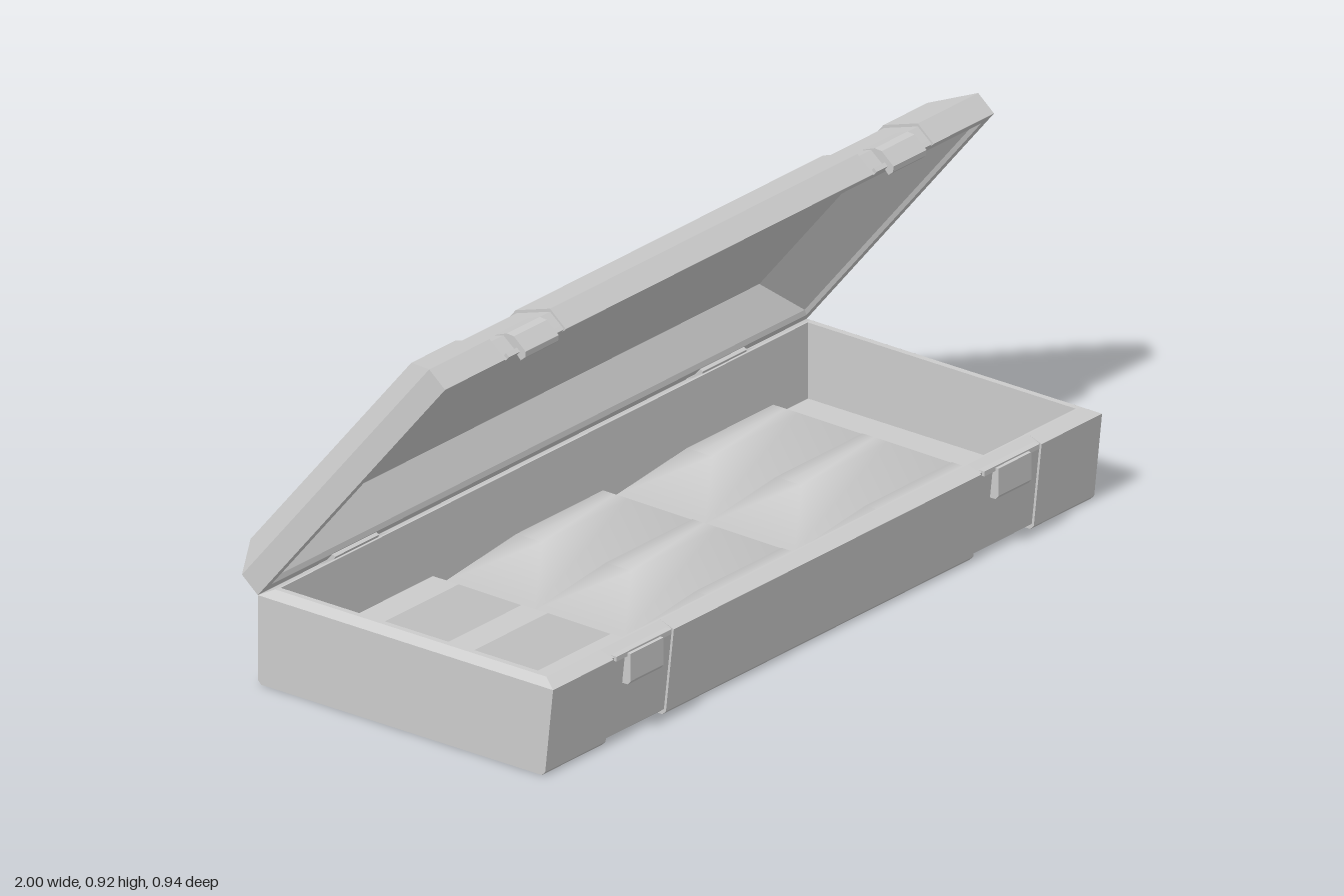
import * as THREE from 'three';
import { mergeVertices } from 'three/addons/utils/BufferGeometryUtils.js';

const material = new THREE.MeshStandardMaterial({ color: 0xcccccc });

// Skin a list of closed rings (points counter-clockwise seen from +y)
function loft(rings, smooth = false) {
  const pos = [];
  for (let i = 0; i + 1 < rings.length; i++) {
    const r = rings[i], s = rings[i + 1], n = r.length;
    for (let j = 0; j < n; j++) {
      const k = (j + 1) % n;
      pos.push(...r[j], ...r[k], ...s[k], ...r[j], ...s[k], ...s[j]);
    }
  }
  let geo = new THREE.BufferGeometry();
  geo.setAttribute('position', new THREE.Float32BufferAttribute(pos, 3));
  if (smooth) geo = mergeVertices(geo);
  geo.computeVertexNormals();
  return geo;
}

// Rectangular ring whose front and back edges step in at the two strap bands
function bandRing(hx, front, back, y, inset = 0, lift = 0) {
  const xs = [-hx, -0.78, -0.78, -0.56, -0.56, 0.56, 0.56, 0.78, 0.78, hx];
  const inBand = [0, 0, 1, 1, 0, 0, 1, 1, 0, 0];
  const side = (z, d) => xs.map((x, i) => [x, y + inBand[i] * lift, z + inBand[i] * d]);
  return [...side(front, -inset), ...side(back, inset).reverse()];
}

const rectRing = (x0, x1, front, back, y) =>
  [[x0, y, front], [x1, y, front], [x1, y, back], [x0, y, back]];

function add(parent, name, geo) {
  const mesh = new THREE.Mesh(geo, material);
  mesh.name = name;
  parent.add(mesh);
  return mesh;
}

// Extrude a (z, y) profile across the given width, centred on x
function profileBar(points, width) {
  const shape = new THREE.Shape(points.map(([z, y]) => new THREE.Vector2(-z, y)));
  const geo = new THREE.ExtrudeGeometry(shape, { depth: width, bevelEnabled: false });
  return geo.translate(0, 0, -width / 2).rotateY(Math.PI / 2);
}

export function createModel() {
  const model = new THREE.Group();
  model.name = 'hingedCase';

  // Tray: underside, outer walls, bevelled rim, inner walls, floor
  add(model, 'tray', loft([
    bandRing(1, 0.02, 0.02, 0, 0, 0.008),
    bandRing(1, 0.427, -0.39, 0, 0.004, 0.008),
    bandRing(1, 0.437, -0.4, 0.01, 0.006, 0.004),
    bandRing(1, 0.46, -0.4, 0.22, 0.006),
    bandRing(0.975, 0.42, -0.37, 0.234),
    bandRing(0.96, 0.415, -0.365, 0.234),
    bandRing(0.96, 0.415, -0.365, 0.045),
    bandRing(0.96, 0.02, 0.02, 0.045),
  ]));

  // Padded lining: three by three hipped cushions
  const lining = new THREE.Group();
  lining.name = 'lining';
  model.add(lining);
  const columns = [-0.965, -0.36, 0.26, 0.88];
  for (let c = 0; c < 3; c++) {
    for (let r = 0; r < 3; r++) {
      const x0 = columns[c], x1 = columns[c + 1];
      const z0 = 0.415 - r * 0.26, z1 = z0 - 0.26, zm = (z0 + z1) / 2;
      add(lining, 'cushion', loft([
        rectRing(x0, x1, z0, z1, 0.045),
        rectRing(x0 + 0.14, x1 - 0.165, zm + 0.04, zm - 0.035, 0.14),
        rectRing(x0 + 0.14, x1 - 0.165, zm, zm, 0.14),
      ], c > 0));
    }
  }

  // Lid, modelled closed about the hinge line and swung open
  const lid = new THREE.Group();
  lid.name = 'lid';
  lid.position.set(0, 0.22, -0.4);
  lid.rotation.x = -0.88;
  model.add(lid);
  add(lid, 'lidShell', loft([
    bandRing(0.855, 0.4, 0.4, 0.1),
    bandRing(0.855, 0.765, 0.086, 0.1),
    bandRing(0.97, 0.825, 0.04, 0.01),
    bandRing(0.975, 0.83, 0.03, 0),
    bandRing(1, 0.856, 0, 0, 0.005),
    bandRing(1, 0.856, 0, 0.06, 0.006, -0.005),
    bandRing(0.94, 0.768, 0.033, 0.117, 0.004, -0.006),
    bandRing(0.94, 0.4, 0.4, 0.117, 0, -0.006),
  ]));

  for (const side of [-1, 1]) {
    // Catch on the lid front
    const catchGroup = new THREE.Group();
    catchGroup.name = 'lidCatch';
    catchGroup.position.x = side * 0.67;
    lid.add(catchGroup);
    add(catchGroup, 'catchPlate', profileBar(
      [[0.84, 0], [0.86, 0], [0.86, 0.012], [0.84, 0.012]], 0.2));
    add(catchGroup, 'catchTab', profileBar(
      [[0.845, -0.015], [0.862, -0.018], [0.874, -0.01], [0.874, 0.035], [0.862, 0.052], [0.83, 0.07], [0.83, 0.05], [0.85, 0.04]], 0.12));

    // Latch on the tray front: narrow tongue under a wider strip
    const latch = new THREE.Group();
    latch.name = 'latch';
    latch.position.x = side * 0.67;
    model.add(latch);
    add(latch, 'latchTongue', profileBar(
      [[0.445, 0.142], [0.462, 0.142], [0.47, 0.152], [0.47, 0.22], [0.445, 0.22]], 0.12));
    add(latch, 'latchStrip', profileBar(
      [[0.44, 0.212], [0.461, 0.212], [0.461, 0.224], [0.44, 0.224]], 0.2));

    // Hinge knuckle on the back
    const hinge = add(model, 'hinge', profileBar(
      [[-0.375, 0.236], [-0.385, 0.2], [-0.408, 0.19], [-0.43, 0.21], [-0.424, 0.242], [-0.4, 0.25]], 0.16));
    hinge.position.x = side * 0.67;
  }

  return model;
}
